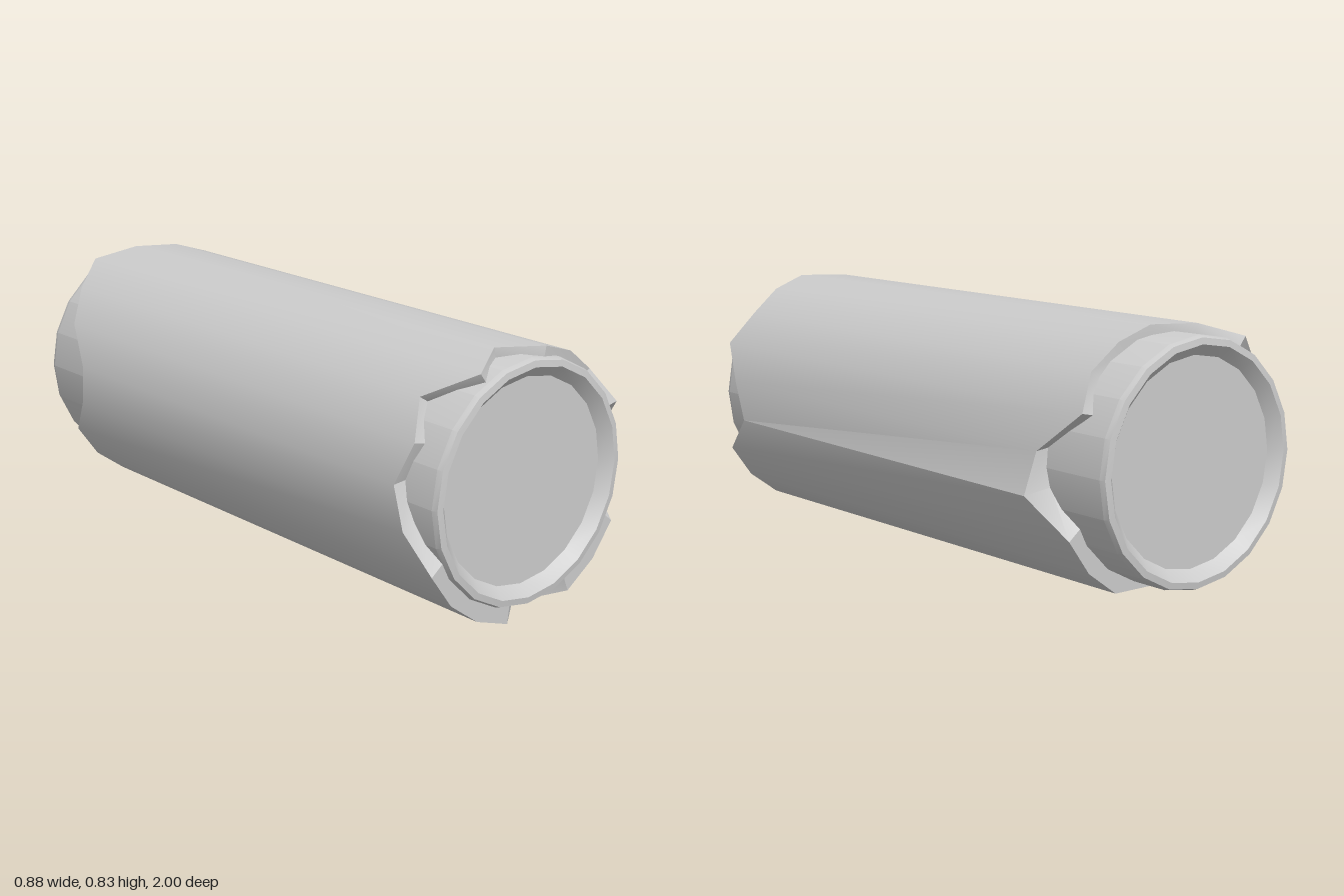
import * as THREE from 'three';
import { toCreasedNormals } from 'three/addons/utils/BufferGeometryUtils.js';

const SIDES = 20;
const CX = -0.027;

// Tube with bevelled rims and a shallow recess at both ends, lying along z
function buildTube(material) {
  const end = [[0, 0.965], [0.318, 0.965], [0.352, 1], [0.372, 0.997], [0.378, 0.98]];
  const back = end.map(([r, z]) => new THREE.Vector2(r, -z));
  const front = end.map(([r, z]) => new THREE.Vector2(r, z)).reverse();
  const geometry = new THREE.LatheGeometry([...back, ...front], SIDES);
  geometry.rotateX(Math.PI / 2);
  const tube = new THREE.Mesh(toCreasedNormals(geometry, 0.4), material);
  tube.position.set(CX, 0.43, 0);
  tube.name = 'tube';
  return tube;
}

// Torn wrapper: every lengthwise edge ends at its own depth, front and back
function buildWrapper(material) {
  const radius = 0.418, cy = 0.417;
  const frontZ = [0.88, 0.98, 0.935, 0.955, 0.975, 0.895, 0.97, 0.835, 0.9, 0.86,
    0.9, 0.98, 0.98, 0.98, 0.98, 0.87, 0.98, 0.98, 0.98, 0.83];
  const backZ = [0.75, 0.9, 0.85, 0.85, 0.85, 0.91, 0.985, 0.915, 0.85, 0.74,
    0.75, 0.85, 0.85, 0.85, 0.85, 0.85, 0.85, 0.85, 0.85, 0.76];
  const outer = (k) => {
    const a = THREE.MathUtils.degToRad(9 + 18 * k);
    return [CX + radius * Math.cos(a), cy + radius * Math.sin(a)];
  };
  const inner = (k) => {
    const a = THREE.MathUtils.degToRad(9 + 18 * k);
    return [CX + 0.37 * Math.cos(a), 0.43 + 0.37 * Math.sin(a)];
  };
  // Back corners: one is peeled outward, the lowest pair is pressed inward
  const backOuter = (k) => {
    if (k === 19) return [0.44, 0.36];
    const [x, y] = outer(k);
    return [x, Math.max(y, 0.045)];
  };

  // Rings: back lip, back edge, front edge, front lip
  const positions = [], index = [];
  for (let k = 0; k < SIDES; k++) positions.push(...inner(k), -backZ[k]);
  for (let k = 0; k < SIDES; k++) positions.push(...backOuter(k), -backZ[k]);
  for (let k = 0; k < SIDES; k++) positions.push(...outer(k), frontZ[k]);
  for (let k = 0; k < SIDES; k++) positions.push(...inner(k), frontZ[k]);
  for (let j = 0; j < 3; j++) {
    for (let k = 0; k < SIDES; k++) {
      const n = (k + 1) % SIDES;
      const a = j * SIDES + k, b = j * SIDES + n;
      const c = a + SIDES, d = b + SIDES;
      index.push(c, a, b, c, b, d);
    }
  }
  const geometry = new THREE.BufferGeometry();
  geometry.setAttribute('position', new THREE.Float32BufferAttribute(positions, 3));
  geometry.setIndex(index);
  const wrapper = new THREE.Mesh(toCreasedNormals(geometry, 0.5), material);
  wrapper.name = 'wrapper';
  return wrapper;
}

export function createModel() {
  const material = new THREE.MeshStandardMaterial({ color: 0xcccccc, side: THREE.DoubleSide });
  const group = new THREE.Group();
  group.name = 'wrappedTube';
  group.add(buildTube(material), buildWrapper(material));
  return group;
}
